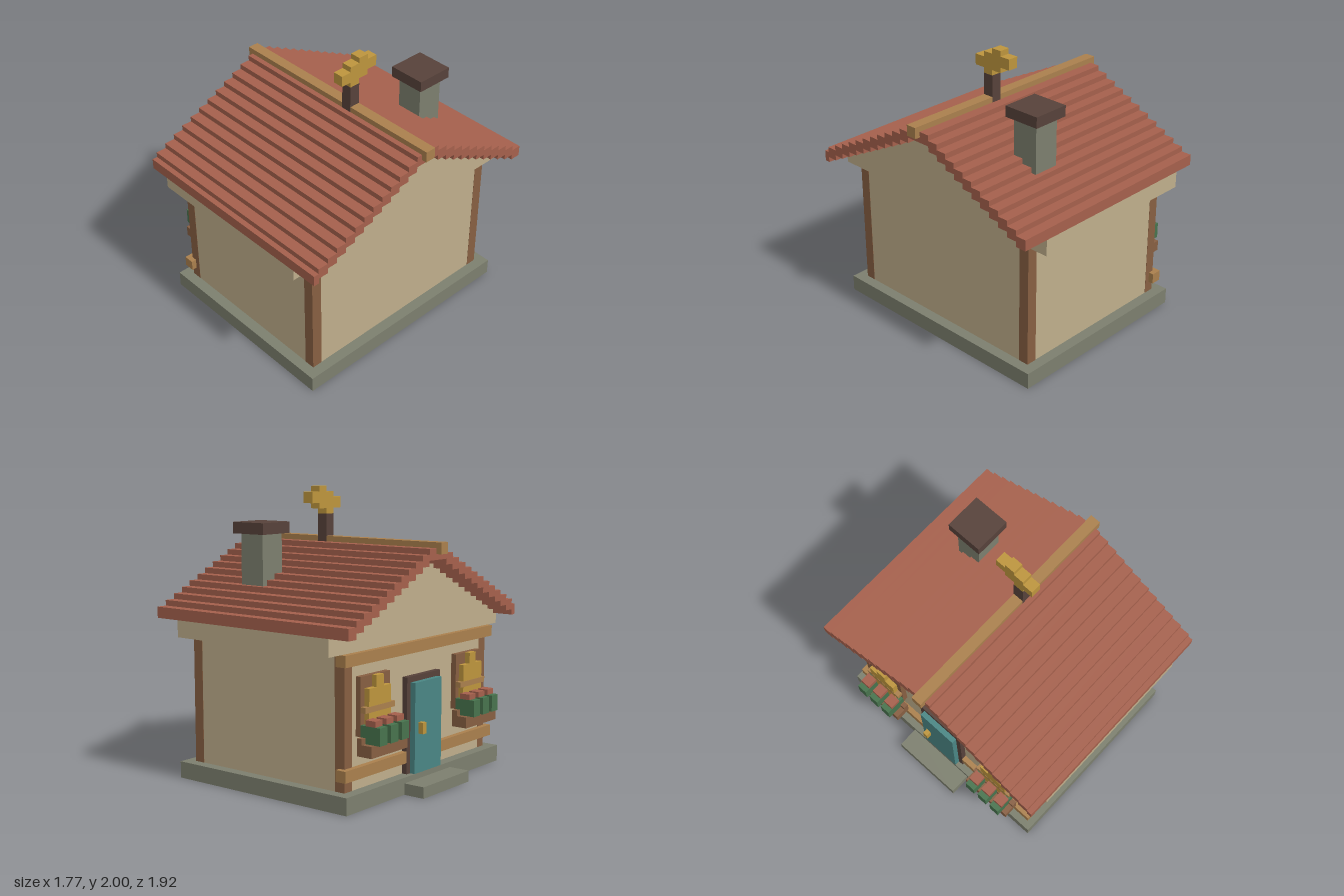
import * as THREE from 'three';

const U = 2 / 52; // one block

const mat = (name, color) => {
  const m = new THREE.MeshStandardMaterial({ color });
  m.name = name;
  return m;
};

export function createModel() {
  const house = new THREE.Group();
  house.name = 'cottage';
  const plaster = mat('plaster', 0xbfae8b);
  const tile = mat('terracotta', 0xa5604c);
  const stone = mat('stone', 0x7c7f6e);
  const wood = mat('brown wood', 0x875f42);
  const lightWood = mat('light wood', 0xaa804d);
  const dark = mat('dark wood', 0x57423a);
  const gold = mat('gold', 0xbd953d);
  const leaf = mat('leaf green', 0x47734d);
  const teal = mat('teal paint', 0x4a8684);

  // Box from its limits in block units
  const box = (name, m, x0, x1, y0, y1, z0, z1) => {
    const g = new THREE.BoxGeometry((x1 - x0) * U, (y1 - y0) * U, (z1 - z0) * U);
    g.translate(((x0 + x1) / 2) * U, ((y0 + y1) / 2) * U, ((z0 + z1) / 2) * U);
    const mesh = new THREE.Mesh(g, m);
    mesh.name = name;
    house.add(mesh);
  };

  // Extrude a [z, y] outline along x
  const extrude = (name, m, pts, x0, x1) => {
    const shape = new THREE.Shape(pts.map(([z, y]) => new THREE.Vector2(z * U, y * U)));
    const g = new THREE.ExtrudeGeometry(shape, { depth: (x1 - x0) * U, bevelEnabled: false });
    g.rotateY(-Math.PI / 2);
    g.translate(x1 * U, 0, 0);
    const mesh = new THREE.Mesh(g, m);
    mesh.name = name;
    house.add(mesh);
  };

  // Foundation, doorstep and walls
  box('foundation', stone, -19, 19, 0, 3, -23, 23);
  box('doorstep', stone, -23, -19, 0, 2, -7, 7);
  box('walls', plaster, -17, 17, 3, 26, -21, 21);
  for (const sx of [-1, 1]) for (const sz of [-1, 1]) {
    const x = sx * 16.04, z = sz * 20.04;
    box('cornerPost', wood, x - 1, x + 1, 3, 26, z - 1, z + 1);
  }

  // Stepped roof line, from the back eave to the front eave
  const steps = [];
  for (let i = 0; i < 12; i++) steps.push([-25 + 2 * i, -23 + 2 * i, 31 + i]);
  steps.push([-1, 2, 42]);
  for (let i = 0; i < 11; i++) steps.push([2 + 2 * i, 4 + 2 * i, 41 - i]);
  steps.push([24, 25, 30]);
  const line = (dy) => steps.flatMap(([a, b, top], i) => {
    const same = i > 0 && steps[i - 1][2] === top;
    return same ? [[b, top + dy]] : [[a, top + dy], [b, top + dy]];
  });
  const upper = line(0), lower = line(-2);
  extrude('roof', tile, [...lower, ...upper.reverse()], -21, 22);
  extrude('gable', plaster, [[-25, 26], [25, 26], ...lower.slice().reverse()], -17, 17);
  box('ridgeBeam', lightWood, -22, 23, 41, 43, -1, 1);

  // Chimney
  box('chimney', stone, 5, 10, 34, 44, -16, -11);
  box('chimneyCap', dark, 4, 11, 44, 46, -17, -10);

  // Weathervane
  box('vanePost', dark, 3, 5, 42, 47, -1.04, 1.04);
  for (const [z0, z1, y0, y1] of [[1, 3, 48, 50], [-1, 1, 47, 51], [-3, -1, 48, 52], [-5, -3, 49, 51]])
    box('vane', gold, 3, 5, y0, y1, z0, z1);

  // Door
  box('doorFrame', dark, -18, -17, 3, 20, -5, 5);
  box('door', teal, -19, -18, 3, 19, -4, 4);
  box('doorKnob', gold, -20, -19, 10, 12, -3, -2);

  // Facade beams
  box('upperBeam', lightWood, -18, -16, 24, 26, -22, 22);
  for (const s of [-1, 1]) {
    const part = (name, m, x0, x1, y0, y1, a, b) =>
      box(name, m, x0, x1, y0, y1, Math.min(s * a, s * b), Math.max(s * a, s * b));
    part('lowerBeam', lightWood, -18, -16, 5, 7, 5, 22);

    // Window
    part('windowFrame', wood, -18, -17, 12, 22, 10, 18);
    part('windowPane', gold, -19, -18, 13, 20, 11, 13);
    part('windowPane', gold, -19, -18, 12, 22, 13, 15);
    part('windowPane', gold, -19, -18, 13, 20, 15, 17);
    part('windowBar', lightWood, -19.04, -18, 16, 17, 10, 18);

    // Flower box
    part('flowerBox', wood, -21, -18, 9, 11, 9, 19);
    part('windowSill', wood, -19, -18, 11, 12, 9, 19);
    for (const z of [10, 13, 16]) {
      part('leaves', leaf, -22, -18, 11, 14, z, z + 2);
      part('blossom', tile, -21, -19, 14, 15, z, z + 2);
    }
  }
  return house;
}
